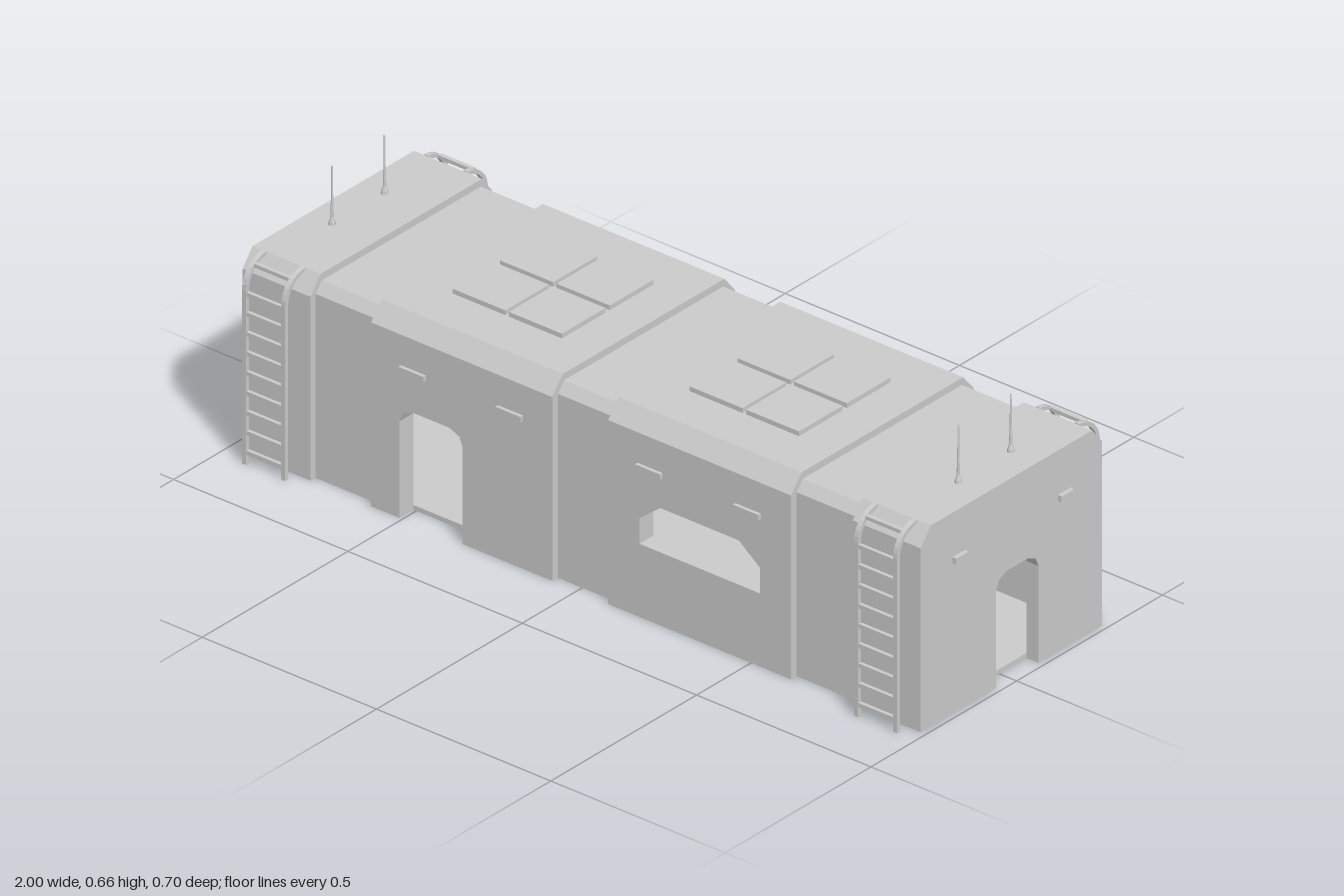
import * as THREE from 'three';

const material = new THREE.MeshStandardMaterial({ color: 0xcccccc, flatShading: true });
const EAVE = 0.465, INNER = 0.265, END = 0.035;
const X0 = -0.96, X1 = 0.985;

export function createModel() {
  const model = new THREE.Group();

  const add = (geometry, name, parent = model) => {
    const mesh = new THREE.Mesh(geometry, material);
    mesh.name = name;
    parent.add(mesh);
    return mesh;
  };
  const box = (name, x, y, z, w, h, d, parent) =>
    add(new THREE.BoxGeometry(w, h, d), name, parent).position.set(x, y, z);
  const toShape = (pts) => new THREE.Shape(pts.map(([a, b]) => new THREE.Vector2(a, b)));
  // Extrude a [z, y] outline along x
  const extrudeX = (name, pts, xa, xb, parent) => {
    const g = new THREE.ExtrudeGeometry(toShape(pts.map(([z, y]) => [-z, y])),
      { depth: xb - xa, bevelEnabled: false });
    g.rotateY(Math.PI / 2).translate(xa, 0, 0);
    return add(g, name, parent);
  };
  // Doorway outline with clipped top corners, from a to b
  const doorway = (a, b) => {
    const s = Math.sign(b - a);
    return [[a, 0], [a, 0.245], [a + s * 0.01, 0.268], [a + s * 0.038, 0.28],
      [b - s * 0.038, 0.28], [b - s * 0.01, 0.268], [b, 0.245], [b, 0]];
  };

  // Hull segments: [start, end, half width, roof half width, roof height]
  const endSize = [0.311, 0.277, 0.508], wide = [0.313, 0.277, 0.508], slim = [0.294, 0.273, 0.49];
  const segments = [
    ['endSegment', X0 + END, -0.765, ...endSize],
    ['recessedSegment', -0.765, -0.59, ...slim],
    ['doorSegment', -0.59, -0.07, ...wide],
    ['recessedSegment', -0.07, 0.09, ...slim],
    ['windowSegment', 0.09, 0.615, ...wide],
    ['recessedSegment', 0.615, 0.79, ...slim],
    ['endSegment', 0.79, X1 - END, ...endSize],
  ];
  for (const [name, a, b, w, c, h] of segments) {
    const seg = new THREE.Group();
    seg.name = name;
    model.add(seg);
    // Back wall and chamfered roof as one bent shell
    extrudeX('roofAndBackWall', [
      [-w, 0], [-w, EAVE], [-c, h], [c, h], [w, EAVE],
      [INNER, EAVE], [0.24, h - 0.035], [-0.24, h - 0.035], [-INNER, EAVE], [-INNER, 0],
    ], a, b, seg);
    // Front wall with its opening
    const notch = name === 'doorSegment' ? doorway(-0.508, -0.327) : [];
    const wall = toShape([[a, 0], ...notch, [b, 0], [b, EAVE], [a, EAVE]]);
    if (name === 'windowSegment') {
      wall.holes.push(new THREE.Path([
        [0.18, 0.185], [0.18, 0.25], [0.24, 0.297], [0.465, 0.297], [0.525, 0.25], [0.525, 0.185],
      ].map(([x, y]) => new THREE.Vector2(x, y))));
    }
    const g = new THREE.ExtrudeGeometry(wall, { depth: w - INNER, bevelEnabled: false });
    add(g.translate(0, 0, INNER), 'frontWall', seg);
  }

  // End walls, one with a doorway
  const [w, c, h] = endSize;
  const gable = [[-w, 0], [-w, EAVE], [-c, h], [c, h], [w, EAVE], [w, 0]];
  extrudeX('closedEndWall', gable, X0, X0 + END);
  extrudeX('doorEndWall', [...gable, ...doorway(0.053, -0.093)], X1 - END, X1);

  // Floor
  box('floor', (X0 + X1) / 2, 0.006, 0, X1 - X0 - 2 * END, 0.012, 2 * INNER);

  // Roof hatches of four panels
  for (const x of [-0.33, 0.35]) {
    for (const i of [-1, 1]) for (const j of [-1, 1]) {
      box('roofPanel', x + i * 0.081, 0.513, j * 0.082, 0.152, 0.014, 0.15);
    }
  }

  // Small lamps on long sides and ends
  for (const s of [-1, 1]) {
    for (const x of [-0.468, -0.19, 0.21, 0.492]) {
      box('sideLamp', x, 0.381, s * 0.315, 0.072, 0.014, 0.014);
    }
    for (const x of [X0 - 0.003, X1 + 0.002]) {
      box('endLamp', x, 0.388, s * 0.181, 0.018, 0.015, 0.043);
    }
  }

  // Tapered vent boxes on the closed end
  for (const z of [-0.115, 0.108]) {
    extrudeVent(z);
  }
  function extrudeVent(z) {
    const g = new THREE.ExtrudeGeometry(
      toShape([[X0, 0.2], [X0, 0.283], [-1, 0.292], [-0.988, 0.215]]),
      { depth: 0.05, bevelEnabled: false });
    add(g.translate(0, 0, z - 0.025), 'ventBox');
  }

  // Antennas with flared feet
  const mast = new THREE.LatheGeometry(
    [[0.009, 0], [0.008, 0.008], [0.004, 0.02], [0.0025, 0.07], [0.002, 0.148], [0, 0.148]]
      .map(([r, y]) => new THREE.Vector2(r, y)), 8);
  for (const x of [-0.888, 0.908]) for (const z of [-0.09, 0.09]) {
    add(mast, 'antenna').position.set(x, 0.507, z);
  }

  // Ladders: rails curve over onto the roof
  const arc = (r) => Array.from({ length: 9 }, (_, i) => {
    const t = (i / 8) * Math.PI / 2;
    return [0.277 + r * Math.cos(t), 0.439 + r * Math.sin(t)];
  });
  const rail = [[0.349, 0], ...arc(0.071), [0.277, 0.5], ...arc(0.061).reverse(), [0.338, 0]];
  rail[0][0] = 0.348;
  for (const x of [-0.869, 0.886]) for (const s of [-1, 1]) {
    const ladder = new THREE.Group();
    ladder.name = 'ladder';
    model.add(ladder);
    const side = rail.map(([z, y]) => [s * z, y]);
    for (const dx of [-0.056, 0.056]) {
      extrudeX('ladderRail', side, x + dx - 0.006, x + dx + 0.006, ladder);
    }
    for (let i = 0; i < 9; i++) {
      box('ladderRung', x, 0.03 + i * 0.05, s * 0.342, 0.1, 0.011, 0.009, ladder);
    }
    box('ladderTopRung', x, 0.493, s * 0.316, 0.1, 0.009, 0.011, ladder);
  }

  return model;
}
